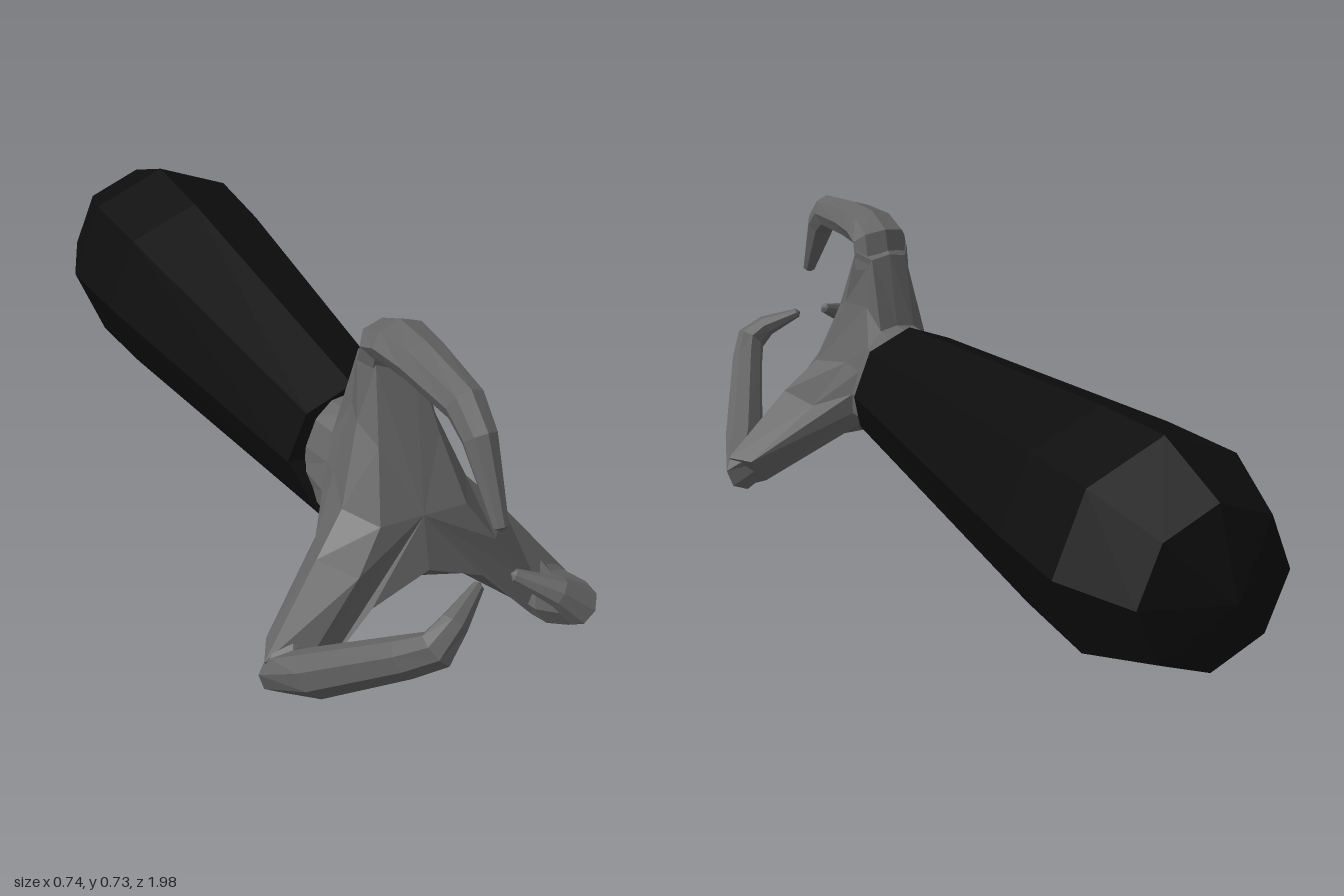
import * as THREE from 'three';

const V = (x, y, z) => new THREE.Vector3(x, y, z);
const metal = new THREE.MeshStandardMaterial({ color: 0x666666, flatShading: true });
const grip = new THREE.MeshStandardMaterial({ color: 0x0d0d0d, flatShading: true });

// Skin a list of equal-length rings, closing both ends with a fan to a centre point
function loft(name, rings, start, end, material) {
  const n = rings[0].length, tris = [];
  for (let r = 0; r < rings.length - 1; r++) {
    for (let i = 0; i < n; i++) {
      const j = (i + 1) % n;
      const a = rings[r][i], b = rings[r][j], c = rings[r + 1][j], d = rings[r + 1][i];
      tris.push([a, b, c], [a, c, d]);
    }
  }
  const last = rings[rings.length - 1];
  for (let i = 0; i < n; i++) {
    const j = (i + 1) % n;
    tris.push([start, rings[0][j], rings[0][i]], [end, last[i], last[j]]);
  }
  // Turn the faces outward if the enclosed volume comes out negative
  const volume = tris.reduce((s, [a, b, c]) => s + a.dot(b.clone().cross(c)), 0);
  if (volume < 0) tris.forEach((t) => t.reverse());
  const geometry = new THREE.BufferGeometry().setFromPoints(tris.flat());
  geometry.computeVertexNormals();
  const mesh = new THREE.Mesh(geometry, material);
  mesh.name = name;
  return mesh;
}

// Tapered eight-sided hook; each step is [x, y, z, half width, half depth]
function hook(name, steps, side) {
  const pts = steps.map((s) => V(s[0], s[1], s[2]));
  const rings = pts.map((p, k) => {
    const dir = V(0, 0, 0);
    if (k > 0) dir.add(p.clone().sub(pts[k - 1]).normalize());
    if (k < pts.length - 1) dir.add(pts[k + 1].clone().sub(p).normalize());
    dir.normalize();
    const up = dir.clone().cross(side).normalize();
    const across = up.clone().cross(dir).normalize();
    return Array.from({ length: 8 }, (_, i) => {
      const a = (i * Math.PI) / 4;
      return p.clone()
        .addScaledVector(across, Math.cos(a) * steps[k][3])
        .addScaledVector(up, Math.sin(a) * steps[k][4]);
    });
  });
  const end = pts[pts.length - 1];
  const tip = end.clone().add(end.clone().sub(pts[pts.length - 2]).normalize().multiplyScalar(0.008));
  return loft(name, rings, pts[0], tip, metal);
}

// Complete a right-hand outline with its mirror image
function mirrorRing(half) {
  const right = half.map((p) => V(...p));
  const left = half.slice(1, -1).reverse().map(([x, y, z]) => V(-x, y, z));
  return [...right, ...left];
}

export function createModel() {
  const model = new THREE.Group();

  // Handle: octagonal, swelling towards a rounded butt, lower front lip longer
  const handleSteps = [[0.31, 0.152], [-0.53, 0.236], [-0.75, 0.248], [-0.93, 0.178]];
  const handleRings = handleSteps.map(([z, r], k) =>
    Array.from({ length: 8 }, (_, i) => {
      const a = (i * Math.PI) / 4;
      const lip = k === 0 && Math.cos(a) < -0.1 ? 0.065 : 0;
      return V(Math.sin(a) * r, 0.33 + Math.cos(a) * r, z + lip);
    }));
  model.add(loft('handle', handleRings, V(0, 0.33, 0.33), V(0, 0.33, -1), grip));

  // Palm: neck growing into a three-armed star, then the flat front
  const palmRings = [
    // neck inside the handle
    [[0, 0.465, 0.3], [0.05, 0.455, 0.3], [0.09, 0.42, 0.3], [0.113, 0.36, 0.3], [0.118, 0.31, 0.3],
      [0.105, 0.25, 0.3], [0.08, 0.22, 0.3], [0.045, 0.2, 0.3], [0, 0.2, 0.3]],
    // neck end
    [[0, 0.468, 0.375], [0.045, 0.46, 0.375], [0.08, 0.42, 0.375], [0.1, 0.36, 0.39], [0.115, 0.3, 0.4],
      [0.11, 0.245, 0.41], [0.085, 0.215, 0.41], [0.045, 0.195, 0.41], [0, 0.195, 0.41]],
    // backs of the arms
    [[0, 0.64, 0.41], [0.045, 0.63, 0.415], [0.06, 0.51, 0.42], [0.11, 0.37, 0.44], [0.18, 0.25, 0.495],
      [0.325, 0.1, 0.565], [0.28, 0.035, 0.58], [0.13, 0.15, 0.515], [0, 0.185, 0.5]],
    // widest outline
    [[0, 0.67, 0.45], [0.07, 0.645, 0.455], [0.085, 0.51, 0.49], [0.145, 0.35, 0.545], [0.22, 0.27, 0.58],
      [0.36, 0.095, 0.63], [0.29, 0.01, 0.63], [0.13, 0.127, 0.58], [0, 0.162, 0.58]],
    // rim of the front
    [[0, 0.64, 0.485], [0.045, 0.63, 0.49], [0.07, 0.48, 0.555], [0.1, 0.34, 0.625], [0.16, 0.25, 0.65],
      [0.27, 0.1, 0.66], [0.25, 0.04, 0.66], [0.13, 0.17, 0.655], [0, 0.225, 0.655]],
  ].map(mirrorRing);
  model.add(loft('palm', palmRings, V(0, 0.33, 0.3), V(0, 0.34, 0.625), metal));

  // Upper hook
  model.add(hook('upperHook', [
    [0, 0.6, 0.452, 0.072, 0.042], [0, 0.666, 0.466, 0.07, 0.048], [0, 0.682, 0.51, 0.066, 0.047],
    [0, 0.682, 0.6, 0.056, 0.046], [0, 0.668, 0.755, 0.042, 0.043], [0, 0.625, 0.81, 0.036, 0.036],
    [0, 0.48, 0.899, 0.016, 0.015],
  ], V(1, 0, 0)));

  // Pair of lower hooks
  const lower = [
    [0.265, 0.11, 0.605, 0.055, 0.04], [0.31, 0.06, 0.638, 0.06, 0.064], [0.285, 0.1, 0.71, 0.058, 0.046],
    [0.19, 0.245, 0.9, 0.046, 0.038], [0.157, 0.287, 0.95, 0.042, 0.036], [0.115, 0.322, 0.938, 0.03, 0.026],
    [0.04, 0.358, 0.897, 0.013, 0.011],
  ];
  for (const s of [1, -1]) {
    const steps = lower.map(([x, ...rest]) => [x * s, ...rest]);
    model.add(hook(s > 0 ? 'lowerLeftHook' : 'lowerRightHook', steps, V(0.57 * s, 0.76, -0.29)));
  }
  return model;
}
